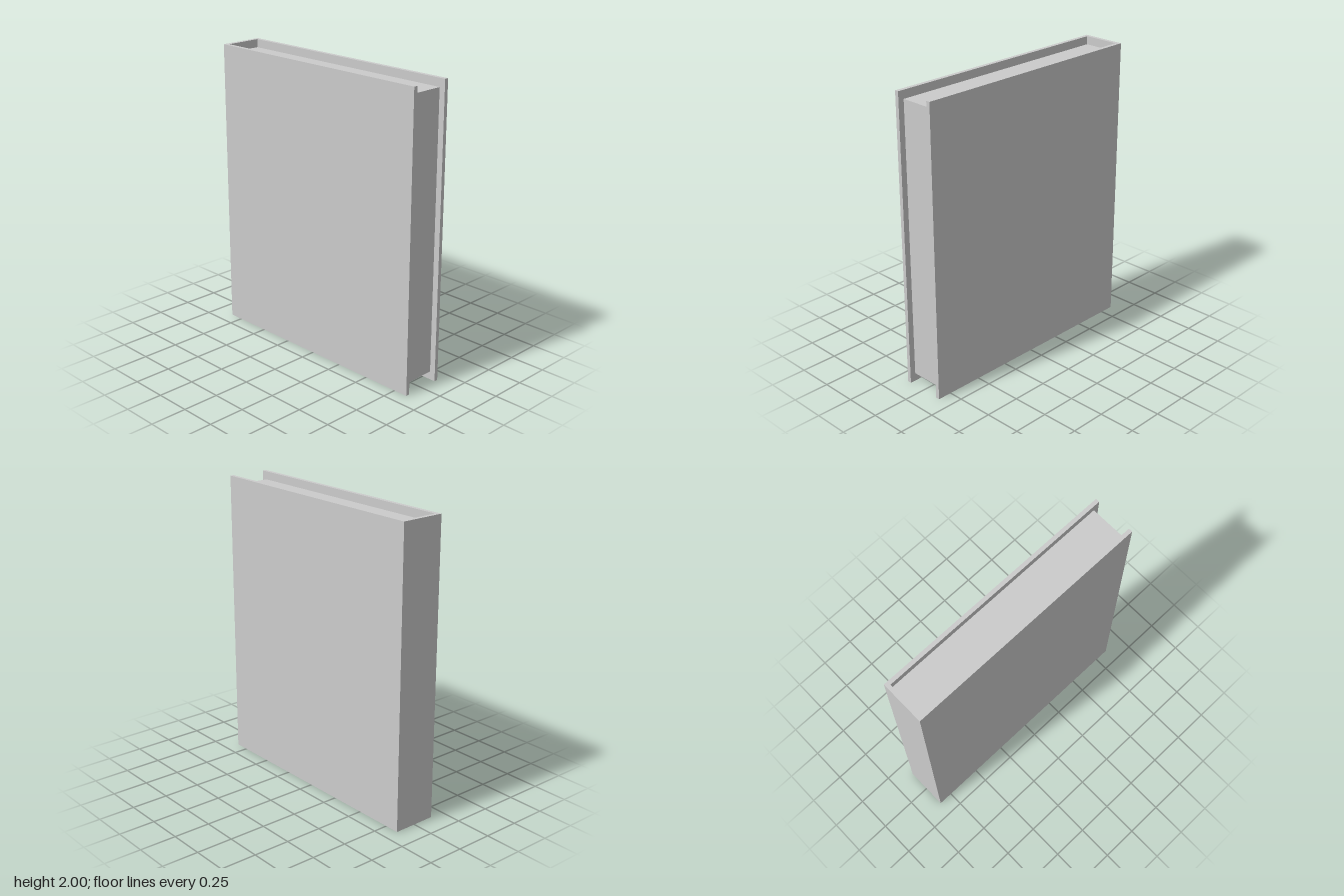
import * as THREE from 'three';

const WIDTH = 0.302, HEIGHT = 2, DEPTH = 1.7; // overall size
const BOARD = 0.027;                          // cover board thickness
const MARGIN = 0.056;                         // cover overhang above and below the pages
const FORE_EDGE = 0.81;                       // z of the pages' front face

export function createModel() {
  const group = new THREE.Group();
  group.name = 'book';
  const material = new THREE.MeshStandardMaterial({ color: 0xcccccc });

  // Cover: U-shaped section (two boards joined by the spine), extruded upwards
  const x = WIDTH / 2, z = DEPTH / 2, xi = x - BOARD, spineZ = -z + BOARD;
  const section = new THREE.Shape(
    [[-x, -z], [-xi, -z], [-xi, -spineZ], [xi, -spineZ], [xi, -z], [x, -z], [x, z], [-x, z]]
      .map(([px, py]) => new THREE.Vector2(px, py))
  );
  const coverGeometry = new THREE.ExtrudeGeometry(section, { depth: HEIGHT, bevelEnabled: false });
  coverGeometry.rotateX(-Math.PI / 2); // section y becomes -z, depth becomes y
  const cover = new THREE.Mesh(coverGeometry, material);
  cover.name = 'cover';
  group.add(cover);

  // Page block filling the cover from the spine to the fore edge
  const pages = new THREE.Mesh(
    new THREE.BoxGeometry(2 * xi, HEIGHT - 2 * MARGIN, FORE_EDGE - spineZ),
    material
  );
  pages.name = 'pages';
  pages.position.set(0, HEIGHT / 2, (FORE_EDGE + spineZ) / 2);
  group.add(pages);

  return group;
}
